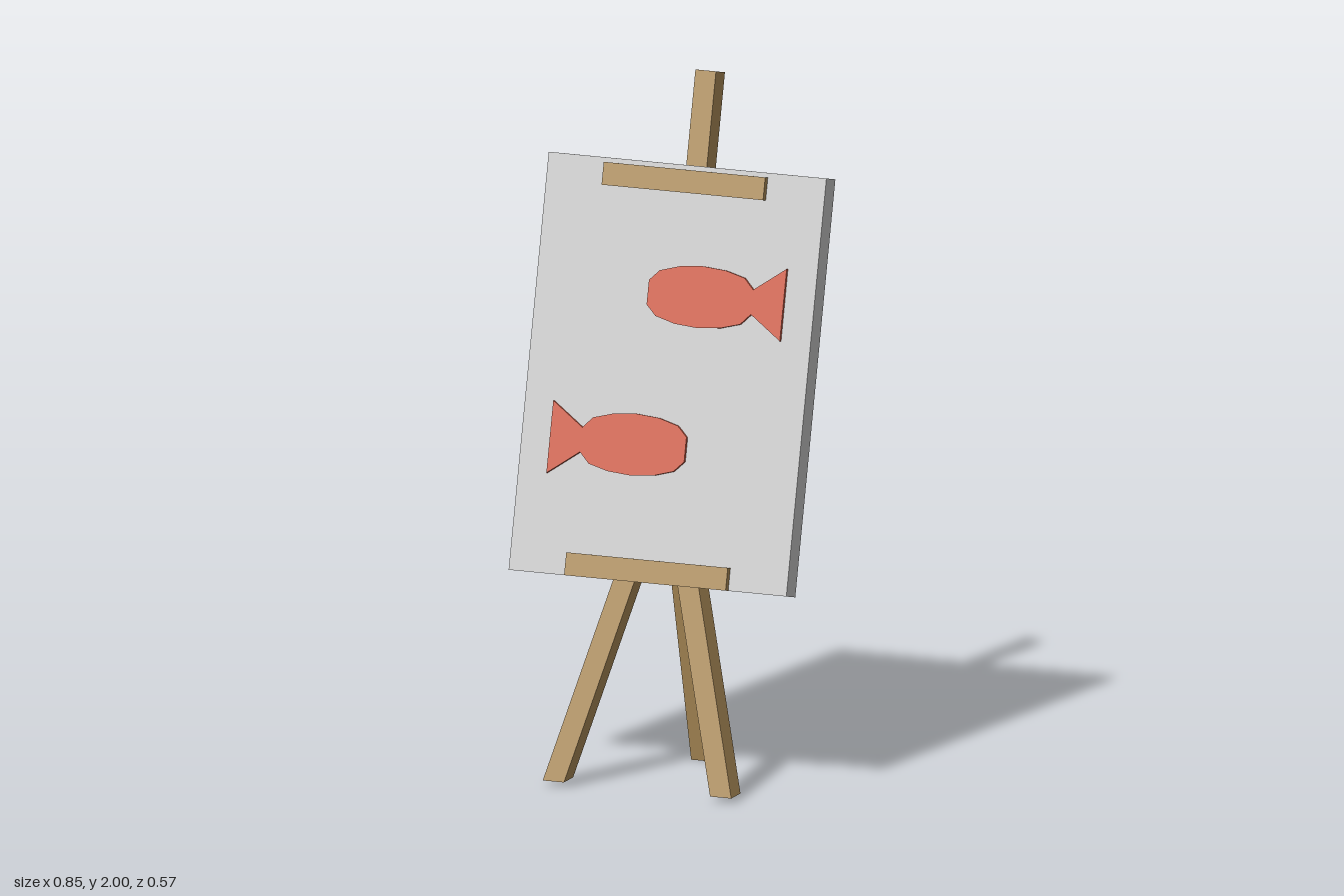
import * as THREE from 'three';

const wood = new THREE.MeshStandardMaterial({ color: 0xb08f5a, flatShading: true });
const grey = new THREE.MeshStandardMaterial({ color: 0xcccccc, flatShading: true });
const red = new THREE.MeshStandardMaterial({ color: 0xd35d43, flatShading: true });

const TILT = 0.25;
const BOARD = { w: 0.853, h: 1.19, d: 0.068 };

function box(name, w, h, d, x, y, z, material) {
  const mesh = new THREE.Mesh(new THREE.BoxGeometry(w, h, d), material);
  mesh.name = name;
  mesh.position.set(x, y, z);
  return mesh;
}

// Square bar with level ends, sheared from its foot to its top
function leg(name, foot, top) {
  const geometry = new THREE.BoxGeometry(0.065, 1, 0.068);
  const p = geometry.attributes.position;
  for (let i = 0; i < p.count; i++) {
    const c = new THREE.Vector3().lerpVectors(foot, top, p.getY(i) + 0.5);
    p.setXYZ(i, p.getX(i) + c.x, c.y, p.getZ(i) + c.z);
  }
  geometry.computeVertexNormals();
  const mesh = new THREE.Mesh(geometry, wood);
  mesh.name = name;
  return mesh;
}

// Flat fish cut-out: upper half outline from nose to tail, mirrored below
function fish(name, dir, y) {
  const half = [
    [-0.08, 0.035], [-0.05, 0.065], [0.01, 0.082], [0.08, 0.088],
    [0.15, 0.082], [0.21, 0.066], [0.24, 0.035], [0.336, 0.103],
  ];
  const outline = [...half, ...half.map(([x, h]) => [x, -h]).reverse()];
  const shape = new THREE.Shape(outline.map(([x, h]) => new THREE.Vector2(x * dir, h)));
  const geometry = new THREE.ExtrudeGeometry(shape, { depth: 0.01, bevelEnabled: false });
  const mesh = new THREE.Mesh(geometry, red);
  mesh.name = name;
  mesh.position.y = y;
  return mesh;
}

export function createModel() {
  const model = new THREE.Group();
  model.name = 'easel';

  // Leaning assembly; its origin is the lower front edge of the board
  const leaning = new THREE.Group();
  leaning.name = 'leaningBoard';
  leaning.position.set(0, 0.6, 0.206);
  leaning.rotation.x = -TILT;
  model.add(leaning);

  leaning.add(
    box('board', BOARD.w, BOARD.h, BOARD.d, 0, BOARD.h / 2, -BOARD.d / 2, grey),
    box('lowerClip', 0.496, 0.065, 0.02, 0, 0.0325, 0.01, wood),
    box('upperClip', 0.496, 0.065, 0.02, 0, 1.144, 0.01, wood),
    fish('upperFish', 1, 0.821),
    fish('lowerFish', -1, 0.387),
  );

  // Mast behind the board
  const mastBottom = 0.37, mastTop = 1.462;
  leaning.add(box('mast', 0.063, mastTop - mastBottom, 0.068,
    0, (mastTop + mastBottom) / 2, -BOARD.d - 0.034, wood));

  // Two splayed front legs and a rear leg meeting at the foot of the mast
  const joint = new THREE.Vector3(0, 0.94, 0.023);
  for (const [name, side] of [['leftFrontLeg', 1], ['rightFrontLeg', -1]]) {
    model.add(leg(name, new THREE.Vector3(side * 0.257, 0.016, 0.249), joint));
  }
  model.add(leg('rearLeg', new THREE.Vector3(0.006, 0, -0.212), joint));

  return model;
}
